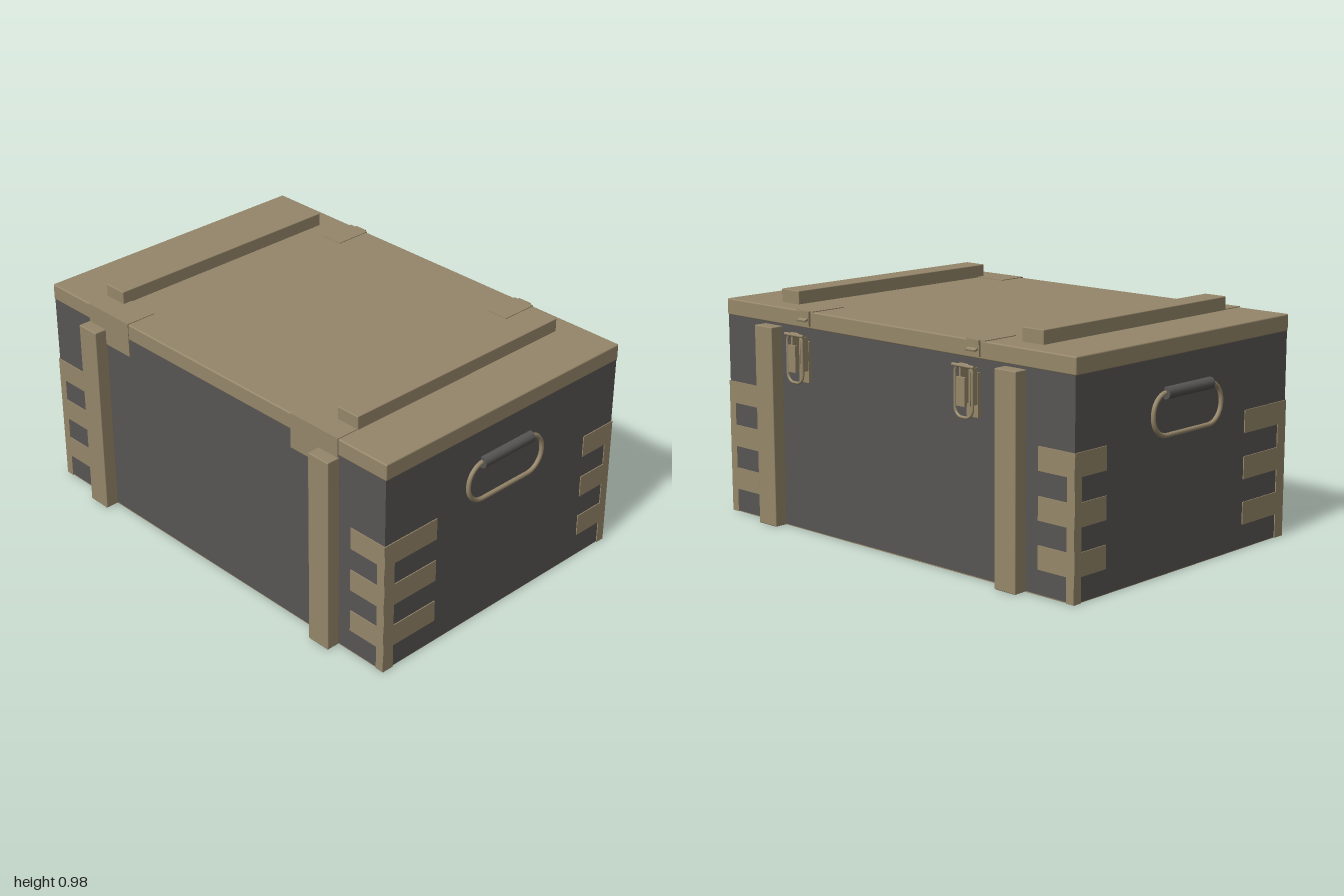
import * as THREE from 'three';
import { RoundedBoxGeometry } from 'three/addons/geometries/RoundedBoxGeometry.js';

const tan = new THREE.MeshStandardMaterial({ color: 0x96876a });
const dark = new THREE.MeshStandardMaterial({ color: 0x585654 });

const BACK = -0.635, FRONT = 0.655, MID = 0.01;

function add(parent, name, geometry, material) {
  const mesh = new THREE.Mesh(geometry, material);
  mesh.name = name;
  parent.add(mesh);
  return mesh;
}

// Box given by its low and high corners
function box(parent, name, [x0, y0, z0], [x1, y1, z1], material = tan, bevel = 0) {
  const size = [x1 - x0, y1 - y0, z1 - z0];
  const geometry = bevel
    ? new RoundedBoxGeometry(...size, 2, bevel)
    : new THREE.BoxGeometry(...size);
  geometry.translate((x0 + x1) / 2, (y0 + y1) / 2, (z0 + z1) / 2);
  return add(parent, name, geometry, material);
}

// Comb-shaped plate: a spine at u = edge with three teeth pointing along dir
function comb(edge, dir, spine, reach) {
  const s = new THREE.Shape();
  s.moveTo(edge, 0);
  s.lineTo(edge + dir * spine, 0);
  for (const y of [0.1, 0.287, 0.475]) {
    s.lineTo(edge + dir * spine, y);
    s.lineTo(edge + dir * reach, y);
    s.lineTo(edge + dir * reach, y + 0.093);
    s.lineTo(edge + dir * spine, y + 0.093);
  }
  s.lineTo(edge, 0.568);
  return new THREE.ExtrudeGeometry(s, { depth: 0.006, bevelEnabled: false }).translate(0, 0, -0.003);
}

// Closed rounded loop in the XY plane
function loop(halfW, halfH, r, tube) {
  const path = new THREE.CurvePath();
  const corners = [[1, -1], [1, 1], [-1, 1], [-1, -1]];
  const V = (x, y) => new THREE.Vector3(x, y, 0);
  const pts = corners.map(([sx, sy], i) => {
    const vertical = V(sx * halfW, sy * (halfH - r));
    const flat = V(sx * (halfW - r), sy * halfH);
    return { c: [sx * (halfW - r), sy * (halfH - r)], ends: i % 2 ? [vertical, flat] : [flat, vertical] };
  });
  pts.forEach((p, i) => {
    const k = 0.5523, [a, b] = p.ends, corner = V(a.x + b.x - p.c[0], a.y + b.y - p.c[1]);
    path.add(new THREE.CubicBezierCurve3(a, a.clone().lerp(corner, k), b.clone().lerp(corner, k), b));
    path.add(new THREE.LineCurve3(b, pts[(i + 1) % 4].ends[0]));
  });
  const curve = new THREE.CatmullRomCurve3(path.getSpacedPoints(64).slice(0, -1), true);
  return new THREE.TubeGeometry(curve, 96, tube, 8, true);
}

function makeHandle(side) {
  const g = new THREE.Group();
  g.name = side > 0 ? 'leftHandle' : 'rightHandle';
  add(g, 'handleRing', loop(0.207, 0.083, 0.08, 0.01), tan).rotation.y = Math.PI / 2;
  const grip = add(g, 'handleGrip', new THREE.CylinderGeometry(0.024, 0.024, 0.276, 16), dark);
  grip.rotation.x = Math.PI / 2;
  grip.position.y = 0.081;
  g.position.set(side * 0.976, 0.632, MID);
  return g;
}

// Toggle latch, modelled facing -z with its origin on the back wall
function makeLatch(side) {
  const g = new THREE.Group();
  g.name = side > 0 ? 'leftLatch' : 'rightLatch';
  box(g, 'latchPlate', [-0.03, 0.63, -0.014], [0.03, 0.8, 0]);
  for (const s of [-1, 1]) {
    box(g, 'latchCheek', [s * 0.024 - 0.004, 0.68, -0.055], [s * 0.024 + 0.004, 0.82, -0.014]);
  }
  box(g, 'latchLever', [-0.022, 0.68, -0.078], [0.022, 0.79, -0.066]);
  const ring = add(g, 'latchLoop', loop(0.045, 0.1, 0.035, 0.006), tan);
  ring.position.set(0, 0.735, -0.06);
  const pin = add(g, 'latchPin', new THREE.CylinderGeometry(0.007, 0.007, 0.112, 10), tan);
  pin.rotation.z = Math.PI / 2;
  pin.position.set(0, 0.83, -0.062);
  // Hooked catch on the lid
  box(g, 'catchPlate', [-0.03, 0.86, -0.01], [0.03, 0.922, 0]);
  const hook = box(g, 'catchHook', [-0.025, -0.004, -0.022], [0.025, 0.004, 0]);
  hook.position.set(0, 0.89, -0.006);
  hook.rotation.x = -0.3;
  g.position.set(side * 0.476, 0, BACK);
  return g;
}

export function createModel() {
  const root = new THREE.Group();
  root.name = 'storageCrate';

  box(root, 'body', [-0.971, 0.003, BACK + 0.003], [0.971, 0.855, FRONT - 0.003], dark);
  box(root, 'bottomBoard', [-0.97, 0, BACK + 0.003], [0.97, 0.004, FRONT - 0.003]);
  box(root, 'lid', [-0.975, 0.85, BACK], [0.975, 0.92, FRONT], tan, 0.006);

  for (const s of [-1, 1]) {
    const span = (a, b) => (s > 0 ? [a, b] : [-b, -a]);

    // Battens on lid, front and back
    const [b0, b1] = span(0.627, 0.733);
    box(root, 'lidBatten', [b0, 0.915, -0.54], [b1, 0.976, 0.56], tan, 0.004);
    box(root, 'frontBatten', [b0, 0, FRONT - 0.005], [b1, 0.842, 0.711], tan, 0.004);
    box(root, 'backBatten', [b0, 0, -0.69], [b1, 0.842, BACK + 0.005], tan, 0.004);

    // Hinge straps folded over the front edge
    const [h0, h1] = span(0.478, 0.73);
    box(root, 'hingeFront', [h0, 0.775, FRONT - 0.004], [h1, 0.923, FRONT + 0.003]);
    box(root, 'hingeTop', [h0, 0.918, 0.52], [h1, 0.923, FRONT + 0.003]);
    // Catch straps on top of the lid at the back
    const [c0, c1] = span(0.43, 0.53);
    box(root, 'catchTop', [c0, 0.918, BACK], [c1, 0.923, -0.47]);

    // Toothed corner plates
    for (const z of [BACK + 0.002, FRONT - 0.002]) {
      add(root, 'cornerPlate', comb(s * 0.974, -s, 0.037, 0.178), tan).position.z = z;
    }
    const sideFront = add(root, 'sideCornerPlate', comb(-FRONT, 1, 0.052, 0.275), tan);
    const sideBack = add(root, 'sideCornerPlate', comb(-BACK, -1, 0.038, 0.176), tan);
    for (const plate of [sideFront, sideBack]) {
      plate.rotation.y = Math.PI / 2;
      plate.position.x = s * 0.972;
    }

    root.add(makeHandle(s), makeLatch(s));
  }
  return root;
}
